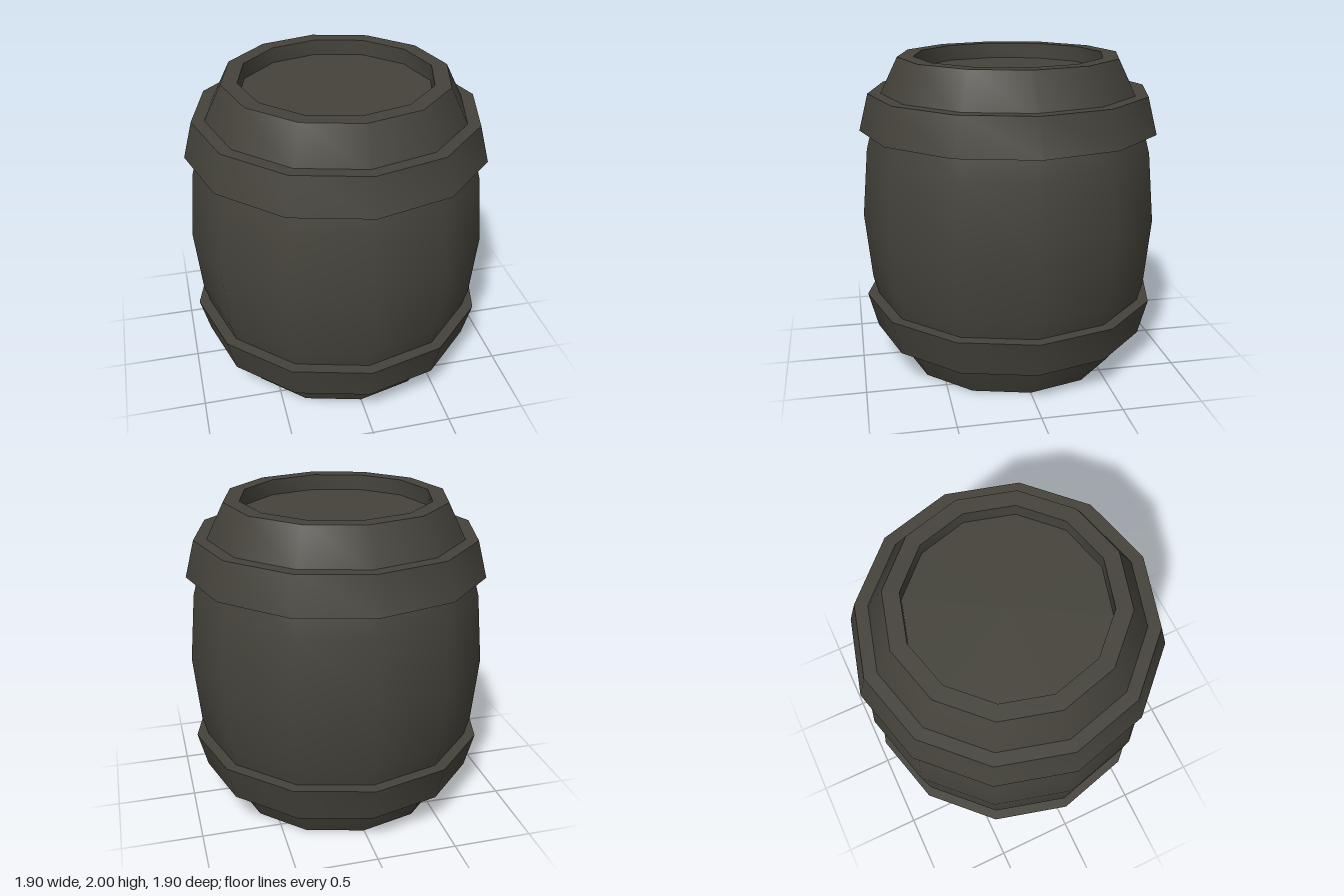
import * as THREE from 'three';
import { toCreasedNormals } from 'three/addons/utils/BufferGeometryUtils.js';

const SIDES = 12;

// Twelve-sided turned part, smooth around the staves with sharp rims
function turned(name, profile, material) {
  const points = profile.map(([r, y]) => new THREE.Vector2(r, y));
  const geometry = toCreasedNormals(new THREE.LatheGeometry(points, SIDES), 0.7);
  const mesh = new THREE.Mesh(geometry, material);
  mesh.name = name;
  return mesh;
}

// Mirror a profile about mid-height, keeping its outward direction
const flip = (profile) => profile.map(([r, y]) => [r, 2 - y]).reverse();

export function createModel() {
  const group = new THREE.Group();
  group.name = 'barrel';
  const darkWood = new THREE.MeshStandardMaterial({ color: 0x45433b });
  darkWood.name = 'darkWood';

  // Bulging staves with a recessed head at each end
  const lowerHalf = [[0, 0.1], [0.6, 0.1], [0.6, 0], [0.7, 0], [0.82, 0.24], [0.91, 0.57]];
  group.add(turned('staves', [...lowerHalf, [0.95, 1], ...flip(lowerHalf)], darkWood));

  // Flared hoops, widest towards the middle
  const hoop = [[0.84, 1.55], [0.95, 1.55], [0.89, 1.78], [0.78, 1.78]];
  group.add(turned('upperHoop', hoop, darkWood));
  group.add(turned('lowerHoop', flip(hoop), darkWood));

  return group;
}
